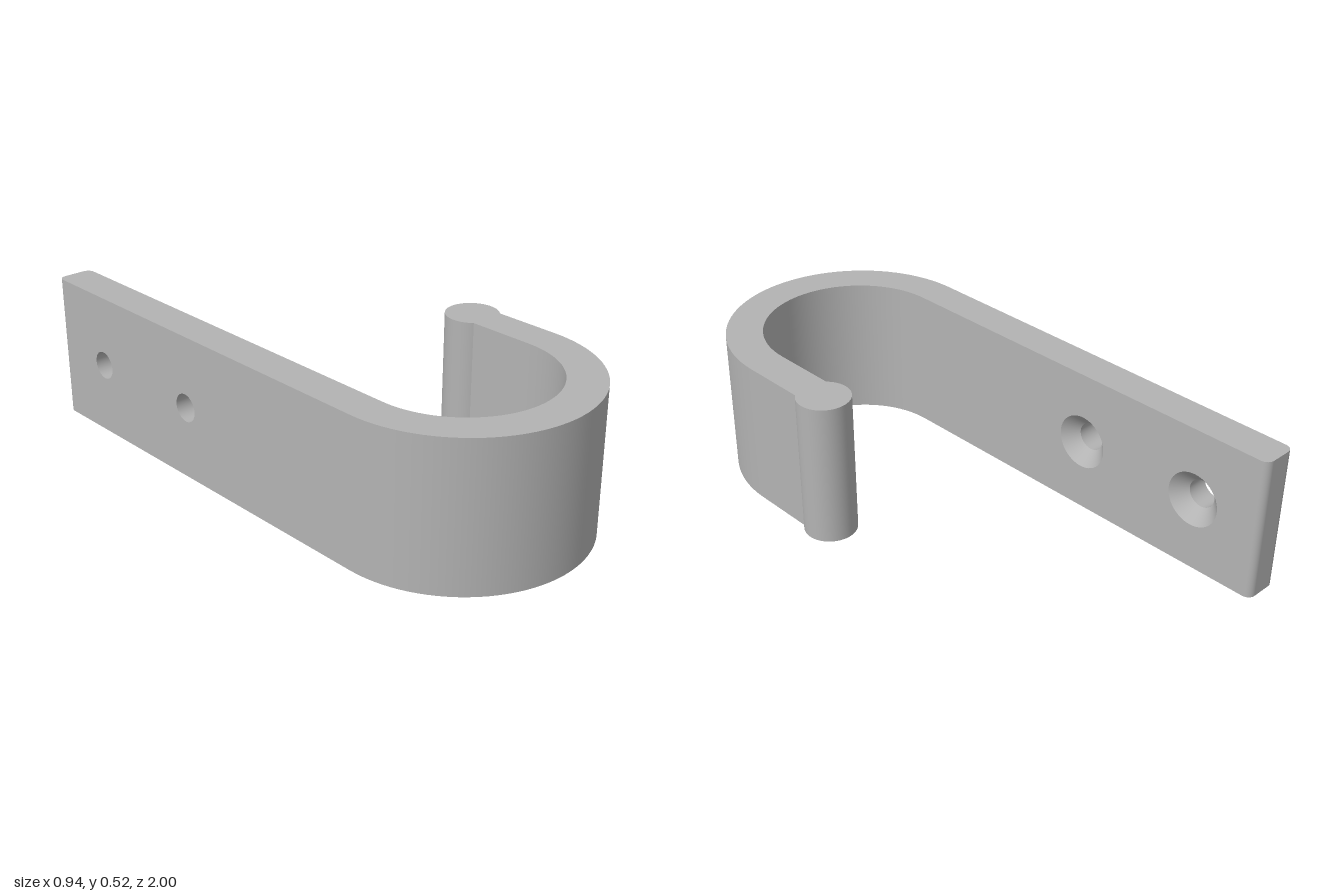
import * as THREE from 'three';
import { mergeGeometries } from 'three/addons/utils/BufferGeometryUtils.js';

const H = 0.52;                          // height of the strip
const X0 = -0.47, X1 = -0.34;            // back plate: outer and inner face
const BEND = { x: -0.015, s: -0.545, outer: 0.455, inner: 0.325 };
const BACK = 1, ROUND = 0.028;           // plate end and its corner rounding
const BEAD = { x: 0.375, s: -0.24, r: 0.093 };
const HOLES = [0.26, 0.74];              // screw positions along the plate (s = -z)
const BORE = 0.05, SINK = 0.098, SINK_DEPTH = 0.05;

// J-shaped outline, drawn counter-clockwise in (x, -z)
function hookOutline() {
  const a = Math.acos(0.065 / BEAD.r), end = BACK - ROUND;
  const s = new THREE.Shape();
  s.moveTo(X1, BEND.s);
  s.lineTo(X1, end);
  s.absarc(X1 - ROUND, end, ROUND, 0, Math.PI / 2, false);
  s.lineTo(X0 + ROUND, BACK);
  s.absarc(X0 + ROUND, end, ROUND, Math.PI / 2, Math.PI, false);
  s.lineTo(X0, BEND.s);
  s.absarc(BEND.x, BEND.s, BEND.outer, Math.PI, Math.PI * 2, false);
  s.lineTo(BEAD.x + 0.065, BEAD.s - BEAD.r * Math.sin(a));
  s.absarc(BEAD.x, BEAD.s, BEAD.r, -a, Math.PI + a, false);
  s.lineTo(BEND.x + BEND.inner, BEND.s);
  s.absarc(BEND.x, BEND.s, BEND.inner, 0, -Math.PI, true);
  return s;
}

// Upright wall along one outline curve, smooth within the curve
function wall(curve) {
  const n = curve.isLineCurve ? 1 : 48;
  const pos = [], nor = [], uv = [], idx = [];
  for (let i = 0; i <= n; i++) {
    const p = curve.getPoint(i / n), t = curve.getTangent(i / n);
    for (const y of [0, H]) {
      pos.push(p.x, y, -p.y);
      nor.push(t.y, 0, t.x);
      uv.push(i / n, y);
    }
    if (i < n) {
      const k = i * 2;
      idx.push(k, k + 2, k + 3, k, k + 3, k + 1);
    }
  }
  const g = new THREE.BufferGeometry();
  g.setAttribute('position', new THREE.Float32BufferAttribute(pos, 3));
  g.setAttribute('normal', new THREE.Float32BufferAttribute(nor, 3));
  g.setAttribute('uv', new THREE.Float32BufferAttribute(uv, 2));
  g.setIndex(idx);
  return g;
}

// Flat J face, at the top or turned over at the bottom
function cap(outline, top) {
  const g = new THREE.ShapeGeometry(outline, 24).rotateX(-Math.PI / 2);
  if (top) return g.translate(0, H, 0);
  g.index.array.reverse();
  g.attributes.normal.array.forEach((v, i, arr) => { arr[i] = -v; });
  return g;
}

// Long plate face with screw holes; dir = 1 faces +x, -1 faces -x
function plateFace(dir, x, radius) {
  const a = dir * BEND.s, b = dir * (BACK - ROUND);
  const lo = Math.min(a, b), hi = Math.max(a, b);
  const s = new THREE.Shape();
  s.moveTo(lo, 0).lineTo(hi, 0).lineTo(hi, H).lineTo(lo, H).closePath();
  for (const h of HOLES) {
    s.holes.push(new THREE.Path().absarc(dir * h, H / 2, radius, 0, Math.PI * 2, true));
  }
  return new THREE.ShapeGeometry(s, 24).rotateY(dir * Math.PI / 2).translate(x, 0, 0);
}

// Inward-facing ring surface along x, between two (radius, x) points
function holeSurface(r1, x1, r2, x2) {
  const pts = [new THREE.Vector2(r1, x1), new THREE.Vector2(r2, x2)];
  return new THREE.LatheGeometry(pts, 48).rotateZ(-Math.PI / 2);
}

export function createModel() {
  const grey = new THREE.MeshStandardMaterial({ color: 0xb3b3b3 });
  grey.name = 'grey metal';
  const group = new THREE.Group();
  group.name = 'wallHook';
  const add = (name, geometry) => {
    const mesh = new THREE.Mesh(geometry, grey);
    mesh.name = name;
    group.add(mesh);
    return mesh;
  };

  // Hook body: walls and caps, leaving the two long plate faces open
  const outline = hookOutline();
  const curves = outline.curves.filter((c) => {
    const len = c.getLength();
    return len > 1e-5 && !(c.isLineCurve && len > 1);
  });
  add('hookWalls', mergeGeometries(curves.map(wall)));
  add('topFace', cap(outline, true));
  add('bottomFace', cap(outline, false));

  // Plate faces: countersunk on the inner side, plain bore on the outer side
  add('plateInnerFace', plateFace(1, X1, SINK));
  add('plateOuterFace', plateFace(-1, X0, BORE));

  // Screw holes
  for (const h of HOLES) {
    const mid = X1 - SINK_DEPTH;
    add('countersink', holeSurface(SINK, X1, BORE, mid)).position.set(0, H / 2, -h);
    add('screwBore', holeSurface(BORE, mid, BORE, X0)).position.set(0, H / 2, -h);
  }
  return group;
}
